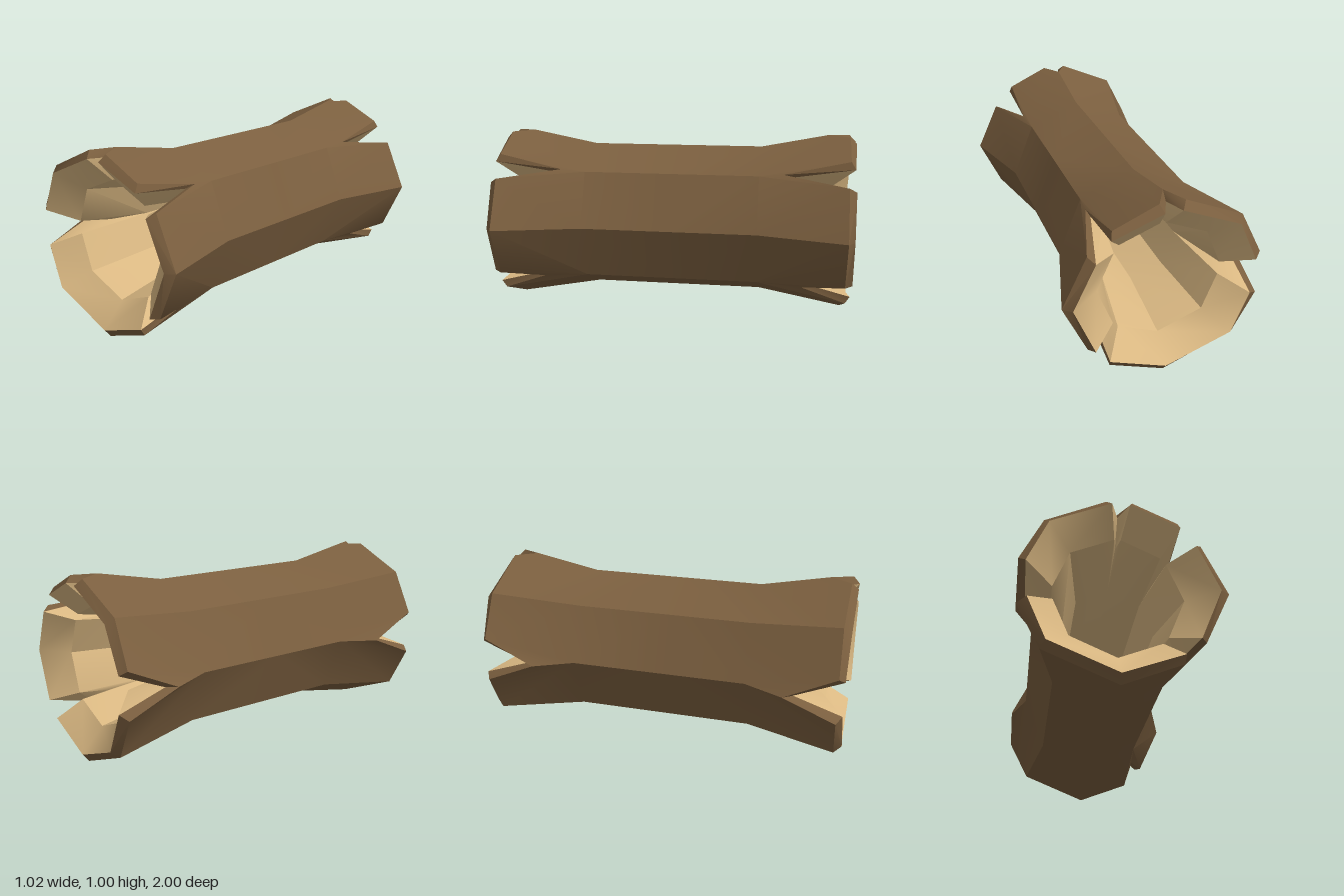
import * as THREE from 'three';
import { toCreasedNormals } from 'three/addons/utils/BufferGeometryUtils.js';

const CX = -0.02, CY = 0.51; // axis of the trunk
const BEND = 0.48;           // where the straight middle meets the flared ends

// Rim stations: [octagon corner, outer x, y, z, inner x, y, z].
// A split corner has three stations: one side, the bottom of the split, the other side.
const RIM = [
  [0, 0.51, 0.51, 0.95, 0.465, 0.51, 0.985],
  // upper split
  [1, 0.385, 0.775, 0.95, 0.355, 0.75, 0.99],
  [1, 0.28, 0.82, 0.61, 0.27, 0.805, 0.66],
  [1, 0.27, 0.895, 0.96, 0.28, 0.855, 0.985],
  // small nick on top
  [2, 0.045, 0.995, 0.965, 0.03, 0.96, 1],
  [2, -0.02, 1, 0.85, -0.02, 0.957, 0.89],
  [2, -0.085, 0.995, 0.965, -0.06, 0.96, 1],
  [3, -0.39, 0.86, 0.96, -0.365, 0.83, 1],
  // side split
  [4, -0.505, 0.63, 0.965, -0.47, 0.605, 0.995],
  [4, -0.508, 0.5, 0.69, -0.463, 0.497, 0.74],
  [4, -0.505, 0.385, 0.965, -0.457, 0.41, 0.995],
  [5, -0.39, 0.16, 0.96, -0.365, 0.19, 1],
  [6, -0.02, 0.005, 0.95, -0.02, 0.05, 0.985],
  // lower split
  [7, 0.275, 0.12, 0.96, 0.28, 0.16, 0.985],
  [7, 0.29, 0.205, 0.72, 0.28, 0.215, 0.77],
  [7, 0.385, 0.24, 0.95, 0.355, 0.245, 0.99],
];

const corner = (k, rx, ry, z) => {
  const a = k * Math.PI / 4;
  return new THREE.Vector3(CX + rx * Math.cos(a), CY + ry * Math.sin(a), z);
};

// Section of the wall at one station: outside, over the rim, back along the inside
function section([k, ox, oy, oz, ix, iy, iz]) {
  const rimOuter = new THREE.Vector3(ox, oy, oz);
  const rimInner = new THREE.Vector3(ix, iy, iz);
  const bore = corner(k, 0.243, 0.253, BEND);
  // the hollow opens gently, then flares steeply near the rim
  const ring = bore.clone().lerp(rimInner, 0.36);
  ring.z = THREE.MathUtils.lerp(BEND, iz, 0.76);
  return [
    corner(k, 0.402, 0.418, 0), corner(k, 0.402, 0.418, BEND), rimOuter,
    rimInner, ring, bore, corner(k, 0.243, 0.253, 0),
  ];
}

// Skins the chosen rows of the sections, mirrored to both ends
function skin(sections, from, to) {
  const pos = [];
  const tri = (a, b, c, side) => {
    if (new THREE.Triangle(a, b, c).getArea() < 1e-7) return;
    const pts = side > 0 ? [a, b, c] : [a, c, b];
    for (const p of pts) pos.push(p.x, p.y, p.z * side);
  };
  for (const side of [1, -1]) {
    sections.forEach((s, j) => {
      const n = sections[(j + 1) % sections.length];
      for (let i = from; i < to; i++) {
        tri(s[i], n[i], n[i + 1], side);
        tri(s[i], n[i + 1], s[i + 1], side);
      }
    });
  }
  const g = new THREE.BufferGeometry();
  g.setAttribute('position', new THREE.Float32BufferAttribute(pos, 3));
  return toCreasedNormals(g, 0.6);
}

export function createModel() {
  const bark = new THREE.MeshStandardMaterial({ color: 0x7b5f3f });
  bark.name = 'bark brown';
  const wood = new THREE.MeshStandardMaterial({ color: 0xdbb983 });
  wood.name = 'inner wood tan';

  const group = new THREE.Group();
  group.name = 'hollowLog';
  const sections = RIM.map(section);
  const add = (name, from, to, material) => {
    const mesh = new THREE.Mesh(skin(sections, from, to), material);
    mesh.name = name;
    group.add(mesh);
  };
  add('barkShell', 0, 2, bark);
  add('splitRims', 2, 3, bark);
  add('hollowInside', 3, 6, wood);
  return group;
}
